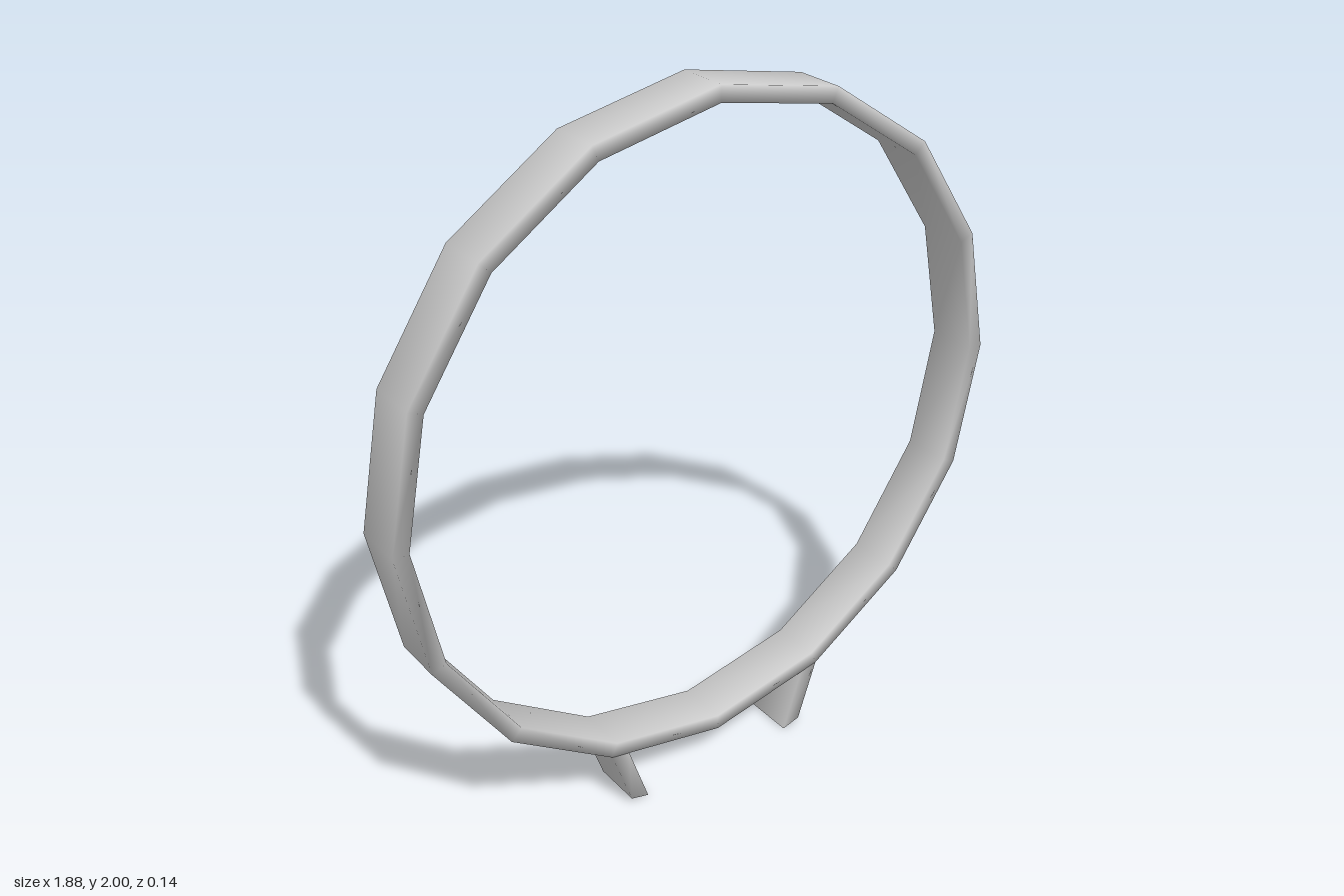
import * as THREE from 'three';

const HALF_DEPTH = 0.072;
const CENTRE_Y = 1.06;
const SIDES = 16;

// Four corners of a band section, from its outer and inner point in the xy plane.
function section([ox, oy], [ix, iy]) {
  return [
    [ox, oy, HALF_DEPTH], [ox, oy, -HALF_DEPTH],
    [ix, iy, -HALF_DEPTH], [ix, iy, HALF_DEPTH],
  ];
}

// Skin successive sections with shared, smooth-shaded corners.
function loft(sections, closed) {
  const n = sections.length;
  const index = [];
  for (let i = 0; i < (closed ? n : n - 1); i++) {
    for (let j = 0; j < 4; j++) {
      const k = (j + 1) % 4;
      const next = (i + 1) % n;
      const a = i * 4 + j, b = next * 4 + j, c = next * 4 + k, d = i * 4 + k;
      index.push(a, d, c, a, c, b);
    }
  }
  if (!closed) index.push(0, 2, 1, 0, 3, 2); // foot cap
  const geometry = new THREE.BufferGeometry();
  geometry.setAttribute('position', new THREE.Float32BufferAttribute(sections.flat(2), 3));
  geometry.setIndex(index);
  geometry.computeVertexNormals();
  return geometry;
}

export function createModel() {
  const group = new THREE.Group();
  group.name = 'hoopOnLegs';
  const grey = new THREE.MeshStandardMaterial({ color: 0xcccccc });
  grey.name = 'light grey';

  // Sixteen-sided hoop
  const ringSections = [];
  for (let i = 0; i < SIDES; i++) {
    const t = (i / SIDES) * Math.PI * 2;
    const at = (r) => [Math.cos(t) * r, CENTRE_Y + Math.sin(t) * r];
    ringSections.push(section(at(0.94), at(0.896)));
  }
  const hoop = new THREE.Mesh(loft(ringSections, true), grey);
  hoop.name = 'hoop';
  group.add(hoop);

  // Two legs leaning inward from the lower corners of the hoop
  const legGeometry = loft([
    section([0.3, 0.015], [0.245, 0]),
    section([0.36, 0.192], [0.305, 0.181]),
  ], false);
  ['leftLeg', 'rightLeg'].forEach((name, i) => {
    const leg = new THREE.Mesh(legGeometry, grey);
    leg.name = name;
    leg.rotation.y = i * Math.PI;
    group.add(leg);
  });

  return group;
}
